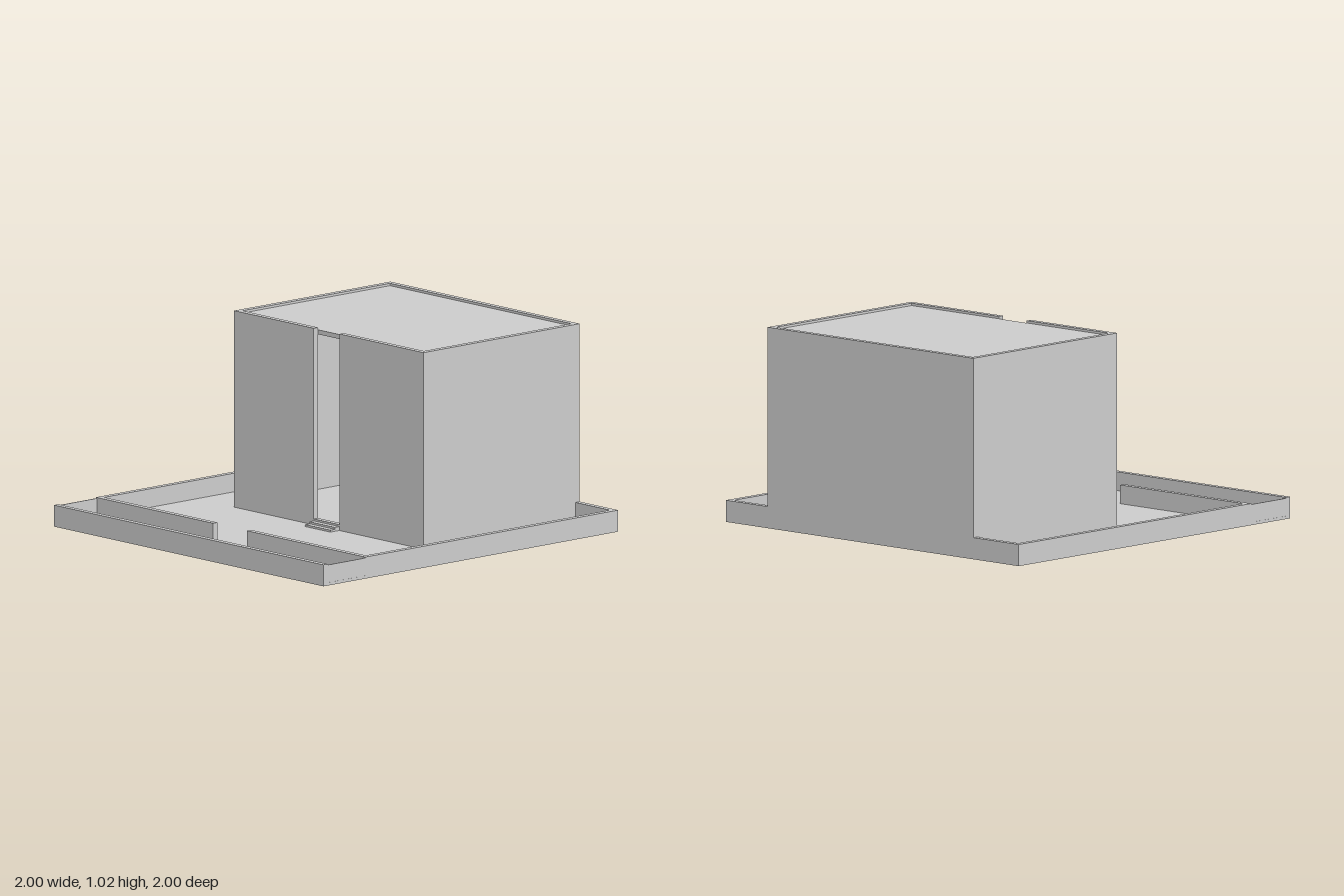
import * as THREE from 'three';

export function createModel() {
  const model = new THREE.Group();
  const material = new THREE.MeshStandardMaterial({ color: 0xcccccc });

  // Box given by its lower and upper limits on each axis
  function block(name, [x0, x1], [y0, y1], [z0, z1], parent = model) {
    const mesh = new THREE.Mesh(new THREE.BoxGeometry(x1 - x0, y1 - y0, z1 - z0), material);
    mesh.position.set((x0 + x1) / 2, (y0 + y1) / 2, (z0 + z1) / 2);
    mesh.name = name;
    parent.add(mesh);
  }

  const floorY = 0.015, curbY = 0.11, t = 0.03;

  // Ground slab
  block('groundSlab', [-1, 1], [0, floorY], [-1, 1]);

  // Low walls around the plot, with a gate gap at the front
  const fence = new THREE.Group();
  fence.name = 'boundaryWalls';
  model.add(fence);
  const low = [floorY, curbY];
  block('frontWall', [-1, 1], low, [1 - t, 1], fence);
  block('rightSideWall', [-1, -1 + t], low, [-1, 0.715], fence);
  block('leftSideWall', [1 - t, 1], low, [-1, 0.715], fence);
  block('rightGateWall', [-1 + t, -0.13], low, [0.685, 0.715], fence);
  block('leftGateWall', [0.12, 1 - t], low, [0.685, 0.715], fence);
  block('rightBackWall', [-1 + t, -0.69], low, [-1, -1 + t], fence);
  block('leftBackWall', [0.715, 1 - t], low, [-1, -1 + t], fence);
  // Thin panels closing the ends of the front strip
  for (const s of [-1, 1]) {
    block('stripEndPanel', [s * 0.996 - 0.003, s * 0.996 + 0.003], [floorY, 0.105], [0.715, 1 - t], fence);
  }

  // House: four walls, split at the front by a full-height doorway
  const house = new THREE.Group();
  house.name = 'house';
  model.add(house);
  const x0 = -0.69, x1 = 0.715, z0 = -1, z1 = 0.06, door = [-0.1, 0.09];
  const tall = [floorY, 1.02];
  block('backHouseWall', [x0, x1], tall, [z0, z0 + t], house);
  block('rightHouseWall', [x0, x0 + t], tall, [z0 + t, z1], house);
  block('leftHouseWall', [x1 - t, x1], tall, [z0 + t, z1], house);
  block('frontHouseWallRight', [x0 + t, door[0]], tall, [z1 - t, z1], house);
  block('frontHouseWallLeft', [door[1], x1 - t], tall, [z1 - t, z1], house);

  // Flat roof set just below the wall tops, and the indoor floor
  block('roof', [x0 + t, x1 - t], [0.985, 1.008], [z0 + t, z1 - t], house);
  block('houseFloor', [x0 + t, x1 - t], [floorY, 0.035], [z0 + t, z1 - t], house);

  // Doorstep going down in three treads
  for (let i = 0; i < 3; i++) {
    block('doorStep', door, [floorY, 0.045 - i * 0.01], [z1 - t + i * t, z1 + i * t], house);
  }
  return model;
}
